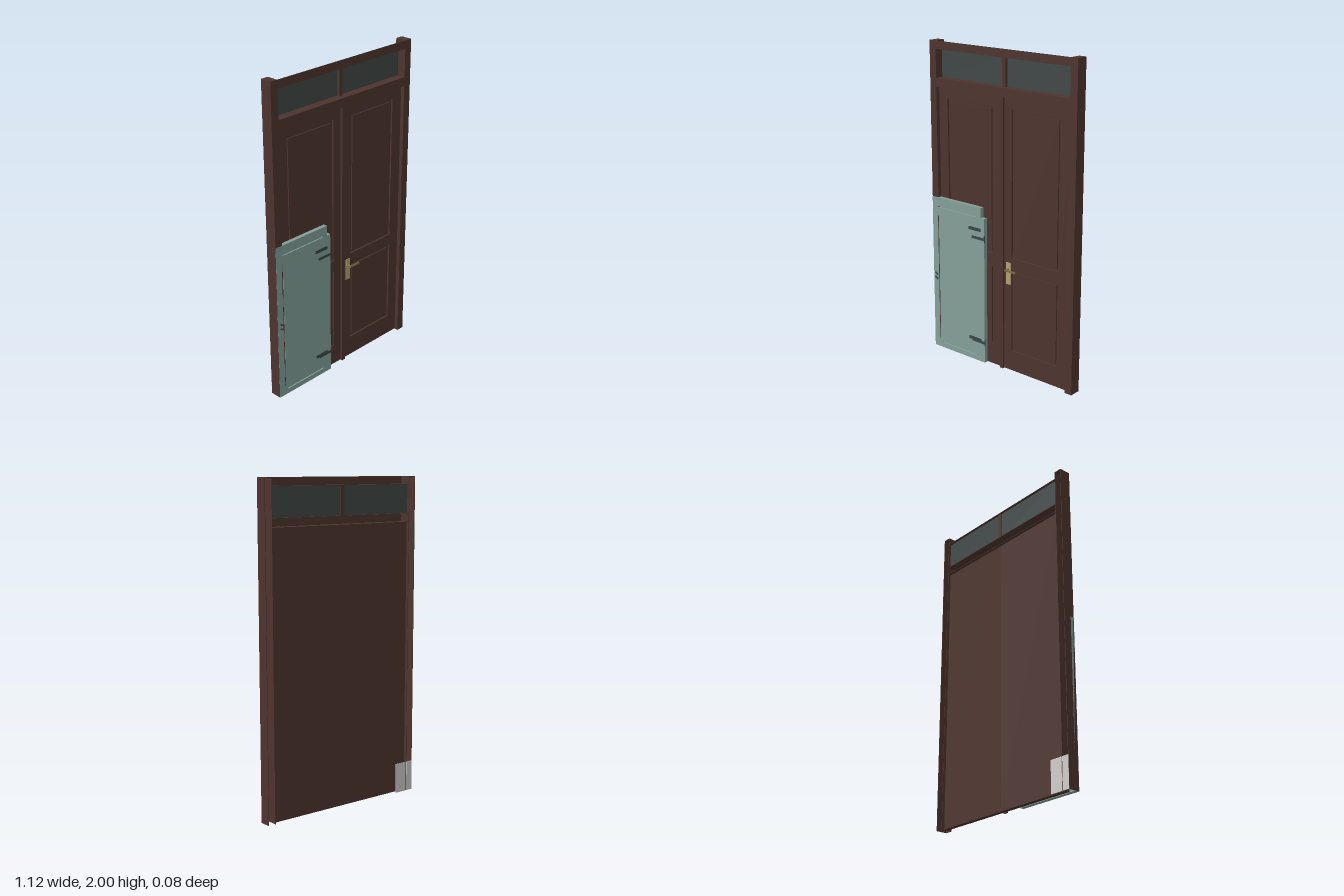
import * as THREE from 'three';

const mat = (name, color) => {
  const m = new THREE.MeshStandardMaterial({ color });
  m.name = name;
  return m;
};

export function createModel() {
  const brown = mat('brown wood', 0x4e342e);
  const teal = mat('pale teal paint', 0x84a098);
  const glass = mat('dark glass', 0x404847);
  const iron = mat('dark iron', 0x3c4645);
  const brass = mat('brass', 0xb3a070);
  const darkBrass = mat('dark brass', 0x7d6a48);
  const pale = mat('pale plate', 0xd0cccc);

  const model = new THREE.Group();
  const group = (name) => {
    const g = new THREE.Group();
    g.name = name;
    model.add(g);
    return g;
  };
  // Box given by its minimum and maximum on each axis
  const box = (parent, name, m, x0, x1, y0, y1, z0, z1) => {
    const mesh = new THREE.Mesh(new THREE.BoxGeometry(x1 - x0, y1 - y0, z1 - z0), m);
    mesh.position.set((x0 + x1) / 2, (y0 + y1) / 2, (z0 + z1) / 2);
    mesh.name = name;
    parent.add(mesh);
    return mesh;
  };
  // Flat board with rectangular openings [x0, x1, y0, y1]
  const board = (parent, name, m, outline, holes, z0, z1) => {
    const shape = new THREE.Shape(outline.map(([x, y]) => new THREE.Vector2(x, y)));
    for (const [x0, x1, y0, y1] of holes) {
      shape.holes.push(new THREE.Path([[x0, y0], [x0, y1], [x1, y1], [x1, y0]].map(([x, y]) => new THREE.Vector2(x, y))));
    }
    const mesh = new THREE.Mesh(new THREE.ExtrudeGeometry(shape, { depth: z1 - z0, bevelEnabled: false }), m);
    mesh.position.z = z0;
    mesh.name = name;
    parent.add(mesh);
  };

  const back = -0.043, front = 0.03, t = 0.003;

  // Jambs: channels open at the back
  for (const side of [-1, 1]) {
    const jamb = group(side < 0 ? 'rightJamb' : 'leftJamb');
    const wall = (name, a, b, y0, y1, z0, z1) =>
      box(jamb, name, brown, Math.min(a * side, b * side), Math.max(a * side, b * side), y0, y1, z0, z1);
    wall('jambFront', 0.51, 0.56, 0, 2, front - t, front);
    wall('jambOuterSide', 0.56 - t, 0.56, 0, 2, back, front - t);
    wall('jambInnerSide', 0.51, 0.51 + t, 0, 2, back, front - t);
    wall('jambTop', 0.51 + t, 0.56 - t, 2 - t, 2, back, front - t);
  }

  // Head rail and transom: channels open at the back
  const head = group('headRail');
  box(head, 'headFront', brown, -0.51, 0.51, 1.95, 2, front - t, front);
  box(head, 'headSoffit', brown, -0.51, 0.51, 1.95, 1.95 + t, back, front - t);
  const transom = group('transom');
  box(transom, 'transomFront', brown, -0.51, 0.51, 1.72, 1.775, front - t, front);
  box(transom, 'transomSill', brown, -0.51, 0.51, 1.775 - t, 1.775, back, front - t);
  box(transom, 'transomSoffit', brown, -0.51, 0.51, 1.72, 1.72 + t, back, front - t);

  // Fanlight
  const fanlight = group('fanlight');
  box(fanlight, 'rightPane', glass, -0.51, -0.01, 1.775, 1.95, -0.028, -0.024);
  box(fanlight, 'leftPane', glass, 0.015, 0.51, 1.775, 1.95, -0.028, -0.024);
  box(fanlight, 'mullion', brown, -0.01, 0.015, 1.775, 1.95, -0.034, -0.005);

  // Two door leaves with grooved panels
  for (const [name, x0, x1, p0, p1] of [
    ['rightLeaf', -0.51, 0, -0.44, -0.07],
    ['leftLeaf', 0, 0.51, 0.073, 0.435],
  ]) {
    const leaf = group(name);
    box(leaf, 'leafCore', brown, x0, x1, 0.003, 1.72, -0.025, -0.006);
    const panels = [[p0, p1, 0.135, 0.67], [p0, p1, 0.74, 1.653]];
    board(leaf, 'leafFrame', brown, [[x0, 0.003], [x1, 0.003], [x1, 1.72], [x0, 1.72]], panels, -0.006, 0.005);
    for (const [a, b, c, d] of panels) {
      box(leaf, 'raisedPanel', brown, a + 0.018, b - 0.018, c + 0.018, d - 0.018, -0.006, 0.002);
    }
  }
  box(model, 'centreStrip', brown, -0.01, 0.015, 0, 1.72, 0.004, 0.018);

  // Door handle
  const handle = group('doorHandle');
  box(handle, 'handlePlate', brass, 0.034, 0.068, 0.57, 0.71, 0.004, 0.01);
  const spindle = new THREE.Mesh(new THREE.CylinderGeometry(0.006, 0.006, 0.026, 12).rotateX(Math.PI / 2), darkBrass);
  spindle.position.set(0.051, 0.667, 0.022);
  spindle.name = 'handleSpindle';
  handle.add(spindle);
  box(handle, 'handleLever', darkBrass, 0.043, 0.125, 0.661, 0.672, 0.03, 0.038);

  // Low shutter with slots and a stepped corner
  const shutter = group('shutter');
  const outline = [[-0.56, 0], [-0.125, 0], [-0.125, 0.955], [-0.153, 0.955], [-0.153, 1.02], [-0.56, 1.02]];
  const slots = [[-0.516, -0.509, 0.06, 0.9], [-0.51, -0.19, 0.954, 0.963], [-0.49, -0.19, 0.033, 0.042]];
  board(shutter, 'shutterBody', teal, outline, [], 0.006, 0.023);
  board(shutter, 'shutterFace', teal, outline, slots, 0.023, 0.031);
  box(shutter, 'slotLining', iron, -0.516, -0.509, 0.06, 0.9, 0.023, 0.028);

  // Hinges
  for (const y of [0.815, 0.127]) {
    const hinge = group('shutterHinge');
    const gap = y > 0.5 ? 0.052 : 0.008;
    box(hinge, 'upperStrap', iron, -0.25, -0.153, y + gap, y + gap + 0.02, 0.03, 0.035);
    box(hinge, 'lowerStrap', iron, -0.225, -0.122, y, y + 0.016, 0.03, 0.036);
    const pin = new THREE.Mesh(new THREE.CylinderGeometry(0.004, 0.004, 0.045, 10), iron);
    pin.position.set(-0.123, y + 0.008, 0.031);
    pin.name = 'hingePin';
    hinge.add(pin);
  }

  // Small slanted pulls
  for (const y of [0.507, 0.477]) {
    const pull = box(group('shutterPull'), 'pullBar', iron, -0.547, -0.521, y - 0.004, y + 0.004, 0.03, 0.038);
    pull.rotation.z = -0.5;
  }

  // Pale plate at the foot of the back
  const plate = group('footPlate');
  box(plate, 'plateOuter', pale, -0.56, -0.514, 0, 0.19, back - 0.001, back + 0.002);
  box(plate, 'plateInner', pale, -0.508, -0.425, 0, 0.19, back - 0.001, back + 0.002);

  return model;
}
